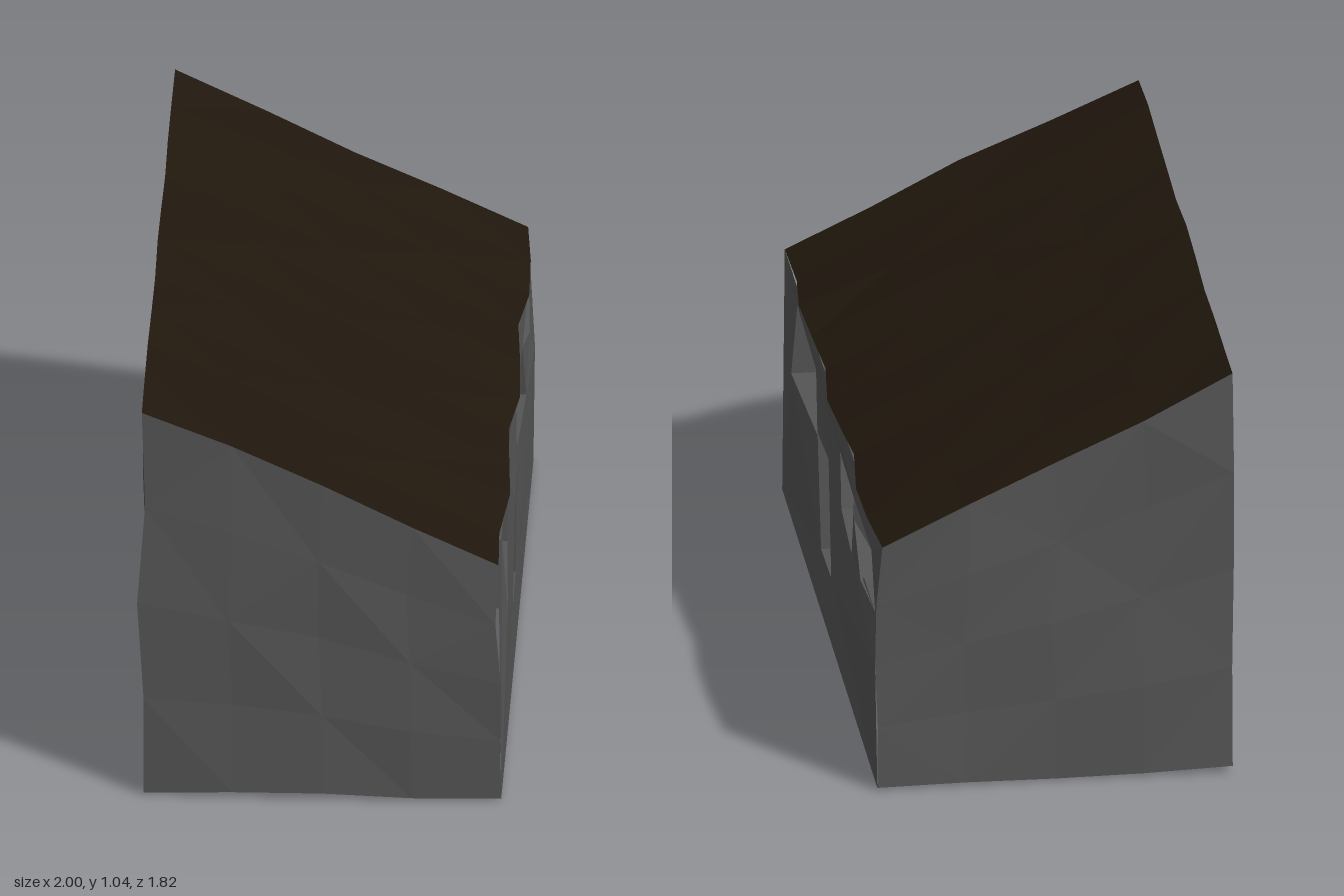
import * as THREE from 'three';

const L = 0.922, D = 0.43;          // half length, half depth
const BASE = 0.02, HIGH = 1.04, LOW = 0.645;
const REVEAL = 0.075;

// gentle, continuous unevenness shared by every surface so the seams meet
function warp(p) {
  const { x, y, z } = p;
  p.x += 0.006 * Math.sin(9 * y + 7 * z + 1);
  p.y += 0.006 * Math.sin(8 * x + 5 * z) + 0.004 * Math.sin(19 * x + 11 * z + 2);
  p.z += 0.006 * Math.sin(11 * x + 8 * y) + 0.005 * Math.sin(23 * x - 15 * y + 1);
  return p;
}

// uneven four-sided surface, corners counter-clockwise from outside
function patch(a, b, c, d, nu, nv) {
  const pos = [], idx = [];
  const [A, B, C, E] = [a, b, c, d].map(p => new THREE.Vector3(...p));
  for (let j = 0; j <= nv; j++) {
    for (let i = 0; i <= nu; i++) {
      const lo = A.clone().lerp(B, i / nu), hi = E.clone().lerp(C, i / nu);
      pos.push(...warp(lo.lerp(hi, j / nv)).toArray());
    }
  }
  for (let j = 0; j < nv; j++) {
    for (let i = 0; i < nu; i++) {
      const k = j * (nu + 1) + i, m = k + nu + 1;
      // alternate the diagonals for irregular facets
      if ((i + j) % 2) idx.push(k, k + 1, m + 1, k, m + 1, m);
      else idx.push(k, k + 1, m, k + 1, m + 1, m);
    }
  }
  const g = new THREE.BufferGeometry();
  g.setAttribute('position', new THREE.Float32BufferAttribute(pos, 3));
  g.setIndex(idx);
  g.computeVertexNormals();
  return g;
}

// openings in the low wall: corners [along, up], running around the hole
const openings = [
  { name: 'wideWindow', pts: [[0.31, 0.41], [0.685, 0.42], [0.685, 0.60], [0.32, 0.58]] },
  { name: 'door', pts: [[0.0, 0.18], [0.19, 0.17], [0.196, 0.47], [0.02, 0.48]] },
  { name: 'middleWindow', pts: [[-0.458, 0.42], [-0.172, 0.42], [-0.139, 0.555], [-0.433, 0.555]] },
  { name: 'endWindow', pts: [[-0.80, 0.42], [-0.588, 0.42], [-0.539, 0.555], [-0.776, 0.575]] },
];

// low wall as a subdivided outline with holes, facing -z
function lowWall() {
  const corners = [[-L, BASE], [L, BASE], [L, LOW], [-L, LOW]];
  const outline = [];
  corners.forEach((p, k) => {
    const q = corners[(k + 1) % 4], n = k % 2 ? 4 : 10;
    for (let i = 0; i < n; i++) {
      outline.push(new THREE.Vector2(p[0] + (q[0] - p[0]) * i / n, p[1] + (q[1] - p[1]) * i / n));
    }
  });
  const shape = new THREE.Shape(outline);
  for (const o of openings) shape.holes.push(new THREE.Path(o.pts.map(p => new THREE.Vector2(...p))));
  const g = new THREE.ShapeGeometry(shape);
  const P = g.attributes.position, v = new THREE.Vector3();
  for (let i = 0; i < P.count; i++) {
    warp(v.set(P.getX(i), P.getY(i), -D));
    P.setXYZ(i, v.x, v.y, v.z);
  }
  // turn the faces outward
  const ix = g.index.array;
  for (let i = 0; i < ix.length; i += 3) [ix[i], ix[i + 1]] = [ix[i + 1], ix[i]];
  g.computeVertexNormals();
  return g;
}

export function createModel() {
  const wallMat = new THREE.MeshStandardMaterial({ color: 0x555555, flatShading: true });
  const revealMat = new THREE.MeshStandardMaterial({ color: 0x555555, flatShading: true, side: THREE.DoubleSide });
  const roofMat = new THREE.MeshStandardMaterial({ color: 0x20170d, flatShading: true });
  const darkMat = new THREE.MeshStandardMaterial({ color: 0x0a0a0a, flatShading: true, side: THREE.DoubleSide });

  const shed = new THREE.Group();
  shed.name = 'shed';
  const add = (name, geometry, material, parent = shed) => {
    const m = new THREE.Mesh(geometry, material);
    m.name = name;
    parent.add(m);
  };

  // shell
  add('highWall', patch([-L, BASE, D], [L, BASE, D], [L, HIGH, D], [-L, HIGH, D], 10, 4), wallMat);
  add('leftEndWall', patch([L, BASE, D], [L, BASE, -D], [L, LOW, -D], [L, HIGH, D], 4, 4), wallMat);
  add('rightEndWall', patch([-L, BASE, -D], [-L, BASE, D], [-L, HIGH, D], [-L, LOW, -D], 4, 4), wallMat);
  add('lowWall', lowWall(), wallMat);
  add('slopingRoof', patch([-L, HIGH, D], [L, HIGH, D], [L, LOW, -D], [-L, LOW, -D], 10, 4), roofMat);
  add('floor', patch([-L, BASE, -D], [L, BASE, -D], [L, BASE, D], [-L, BASE, D], 10, 4), wallMat);

  // recessed openings: four reveal sides and a dark back
  for (const o of openings) {
    const group = new THREE.Group();
    group.name = o.name;
    const front = o.pts.map(p => warp(new THREE.Vector3(p[0], p[1], -D)));
    const back = front.map(p => p.clone().add(new THREE.Vector3(0, 0, REVEAL)));
    const sides = new THREE.BufferGeometry().setFromPoints([...front, ...back]);
    const idx = [];
    for (let i = 0; i < 4; i++) {
      const j = (i + 1) % 4;
      idx.push(i, j, j + 4, i, j + 4, i + 4);
    }
    sides.setIndex(idx);
    sides.computeVertexNormals();
    add('reveal', sides, revealMat, group);
    const panel = new THREE.BufferGeometry().setFromPoints(back);
    panel.setIndex([0, 2, 1, 0, 3, 2]);
    panel.computeVertexNormals();
    add('darkPanel', panel, darkMat, group);
    shed.add(group);
  }

  // the building stands turned on its plot
  shed.rotation.y = -0.659;
  const model = new THREE.Group();
  model.name = 'model';
  model.add(shed);
  return model;
}
